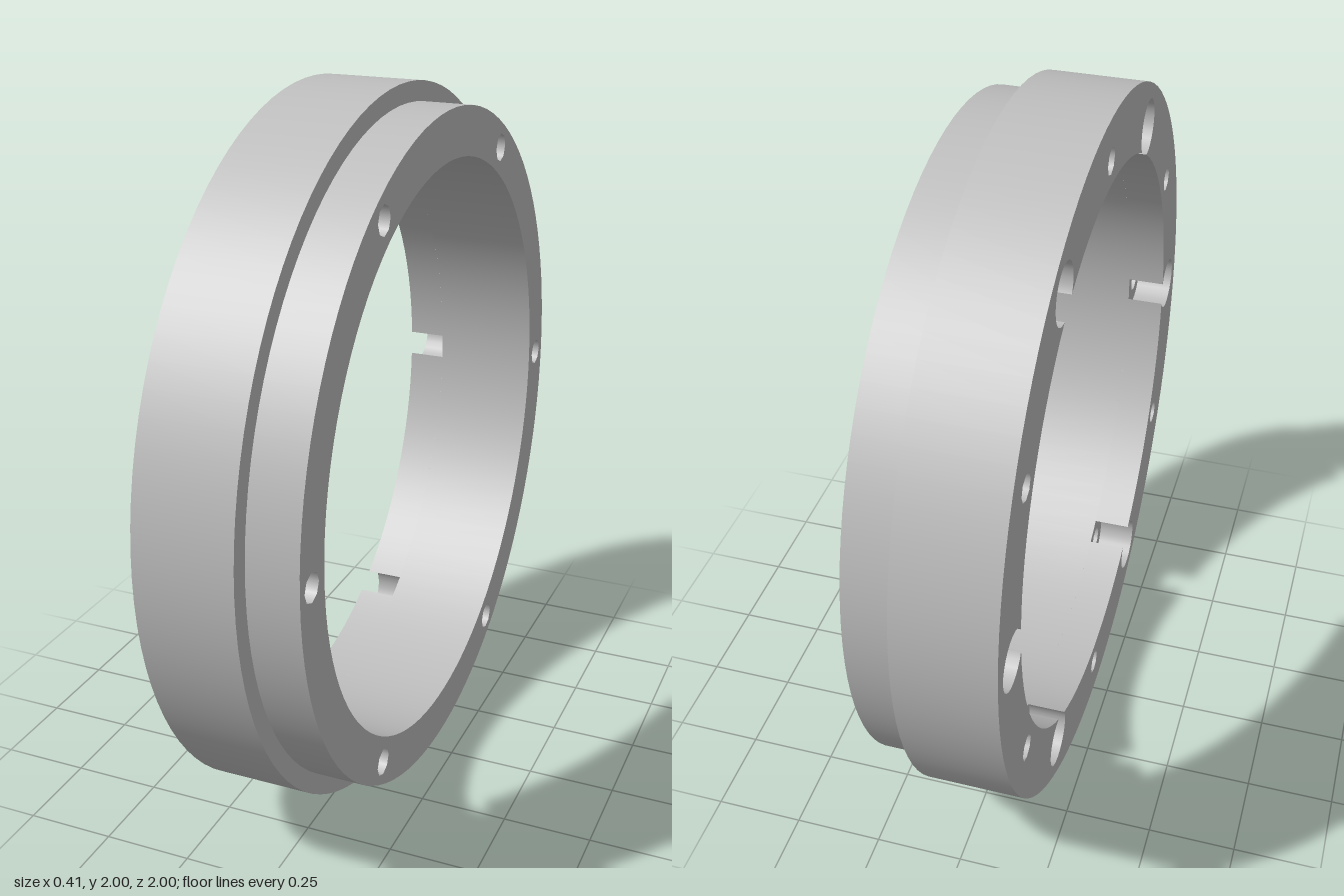
import * as THREE from 'three';
import { mergeGeometries } from 'three/addons/utils/BufferGeometryUtils.js';

const TAU = Math.PI * 2, STEP = TAU / 6;
const OUTER = 1, LIP = 0.945, INNER = 0.81;          // ring radii
const BACK = -0.204, FLOOR = -0.095, SHOULDER = 0.065, FRONT = 0.204; // stations along the axis
const PITCH = 0.88, BORE = 0.08, BOLT = 0.04, SCREW = 0.037; // hole circle and hole radii

// Where a counterbore cuts through the inner wall
const cutX = (PITCH ** 2 + INNER ** 2 - BORE ** 2) / (2 * PITCH);
const cutY = Math.sqrt(INNER ** 2 - cutX ** 2);
const ALPHA = Math.atan2(cutY, cutX);                // seen from the ring centre
const BETA = Math.atan2(cutY, cutX - PITCH);         // seen from the bore centre

const spot = (a) => [PITCH * Math.cos(a), PITCH * Math.sin(a)];
const six = (fn, offset = 0) => Array.from({ length: 6 }, (_, k) => fn(k * STEP + offset));

function arc([cx, cy], r, a0, a1, n) {
  return Array.from({ length: n + 1 }, (_, i) => {
    const a = a0 + (a1 - a0) * i / n;
    return new THREE.Vector2(cx + r * Math.cos(a), cy + r * Math.sin(a));
  });
}
const circle = (c, r, n) => arc(c, r, 0, TAU, n).slice(0, n);

// Flat plate at station z, facing along +z or -z
function face(outline, holes, z, back = false) {
  const shape = new THREE.Shape(outline);
  shape.holes = holes.map((h) => new THREE.Path(h));
  const g = new THREE.ShapeGeometry(shape);
  if (back) flip(g);
  return g.translate(0, 0, z);
}

// Turn a surface inside out
function flip(g) {
  const ix = g.index.array, n = g.attributes.normal.array;
  for (let i = 0; i < ix.length; i += 3) [ix[i], ix[i + 1]] = [ix[i + 1], ix[i]];
  for (let i = 0; i < n.length; i++) n[i] = -n[i];
  return g;
}

// Round wall between two stations, facing outward or inward
function wall([cx, cy], r, z0, z1, n, inward = false, a0 = 0, sweep = TAU) {
  const g = new THREE.CylinderGeometry(r, r, z1 - z0, n, 1, true, a0 + Math.PI / 2, sweep);
  g.rotateX(Math.PI / 2).translate(cx, cy, (z0 + z1) / 2);
  return inward ? flip(g) : g;
}

export function createModel() {
  const metal = new THREE.MeshStandardMaterial({ color: 0xc0c0c0 });
  metal.name = 'grey metal';
  const root = new THREE.Group();
  root.name = 'steppedRing';
  const O = [0, 0];
  const add = (name, parts) => {
    const mesh = new THREE.Mesh(mergeGeometries(parts), metal);
    mesh.name = name;
    root.add(mesh);
  };

  // Outer walls and the shoulder between them
  add('flangeRim', [wall(O, OUTER, BACK, SHOULDER, 96)]);
  add('lipRim', [wall(O, LIP, SHOULDER, FRONT, 96)]);
  add('shoulder', [face(circle(O, OUTER, 96), [circle(O, LIP, 96)], SHOULDER)]);

  // Front face with six bolt holes
  add('frontFace', [face(circle(O, LIP, 96),
    [circle(O, INNER, 96), ...six((a) => circle(spot(a), BOLT, 8))], FRONT)]);

  // Back face: inner edge scalloped by the counterbores, small screw holes between
  const scalloped = six((a) => [
    ...arc(spot(a), BORE, a - BETA, a + BETA, 20).slice(0, -1),
    ...arc(O, INNER, a + ALPHA, a + STEP - ALPHA, 15).slice(0, -1),
  ]).flat();
  add('backFace', [face(circle(O, OUTER, 96),
    [scalloped, ...six((a) => circle(spot(a), SCREW, 8), STEP / 2)], BACK, true)]);

  // Inner wall, notched at the back where the counterbores break through
  add('innerWall', [
    wall(O, INNER, FLOOR, FRONT, 96, true),
    ...six((a) => wall(O, INNER, BACK, FLOOR, 15, true, a + ALPHA, STEP - 2 * ALPHA)),
  ]);

  // Counterbores with floors, and the bolt holes that run on to the front
  add('counterbores', six((a) => [
    wall(spot(a), BORE, BACK, FLOOR, 20, true, a - BETA, 2 * BETA),
    face(arc(spot(a), BORE, a - BETA, a + BETA, 20), [circle(spot(a), BOLT, 8)], FLOOR, true),
  ]).flat());
  add('boltHoles', six((a) => wall(spot(a), BOLT, FLOOR, FRONT, 8, true)));

  // Blind screw holes in the back
  add('screwHoles', six((a) => [
    wall(spot(a), SCREW, BACK, 0, 8, true),
    face(circle(spot(a), SCREW, 8), [], 0, true),
  ], STEP / 2).flat());

  // Lay the ring axis along x and stand it on the ground
  root.rotation.y = Math.PI / 2;
  root.position.y = 1;
  const model = new THREE.Group();
  model.name = 'ringModel';
  model.add(root);
  return model;
}
